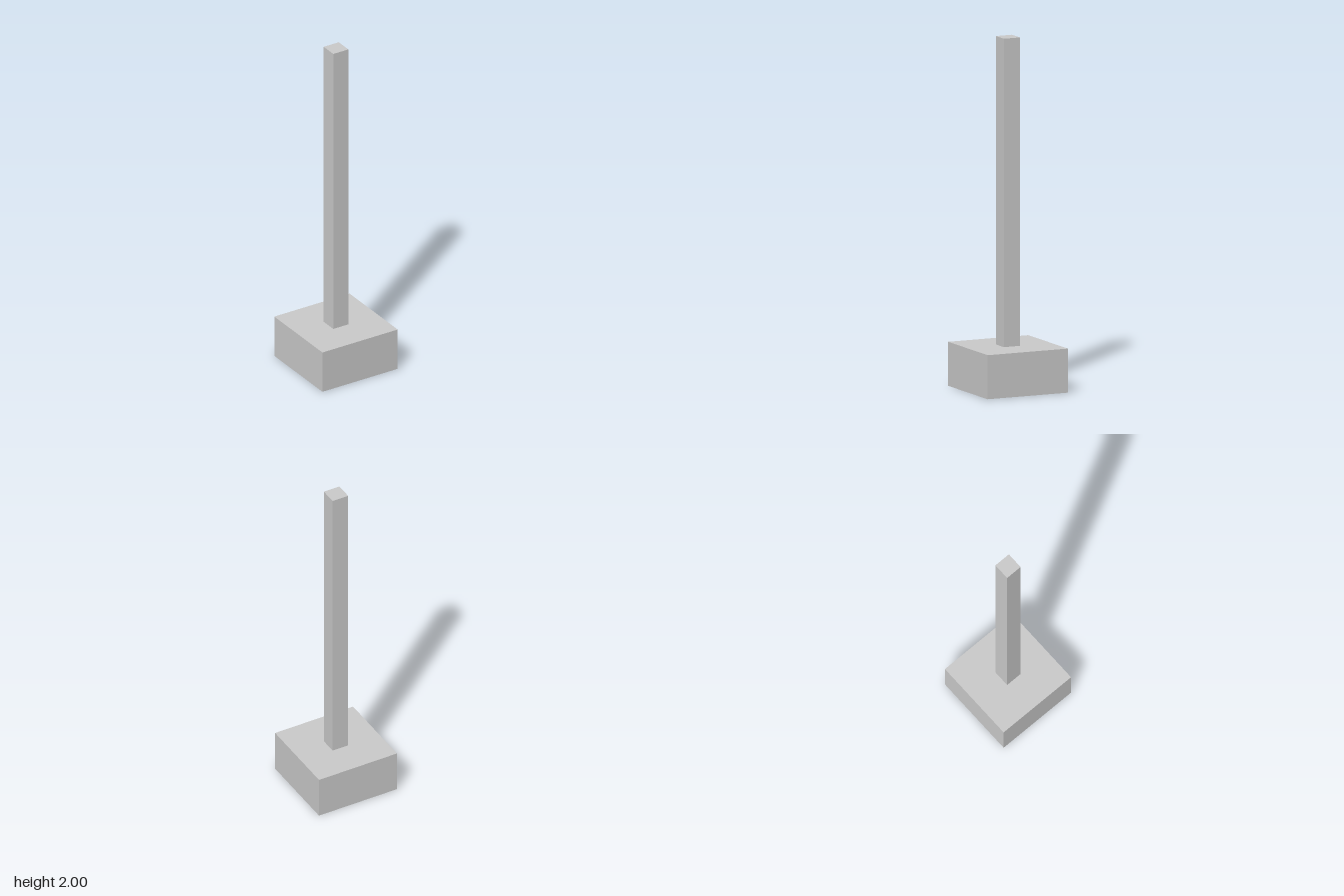
import * as THREE from 'three';

export function createModel() {
  const group = new THREE.Group();
  const material = new THREE.MeshStandardMaterial({ color: 0xcccccc, flatShading: true });

  // Square block standing from y = bottom to y = top
  function addBlock(name, width, bottom, top) {
    const mesh = new THREE.Mesh(new THREE.BoxGeometry(width, top - bottom, width), material);
    mesh.name = name;
    mesh.position.y = (bottom + top) / 2;
    group.add(mesh);
  }

  addBlock('base', 0.5, 0, 0.25);
  addBlock('post', 0.1, 0.25, 2);

  return group;
}
